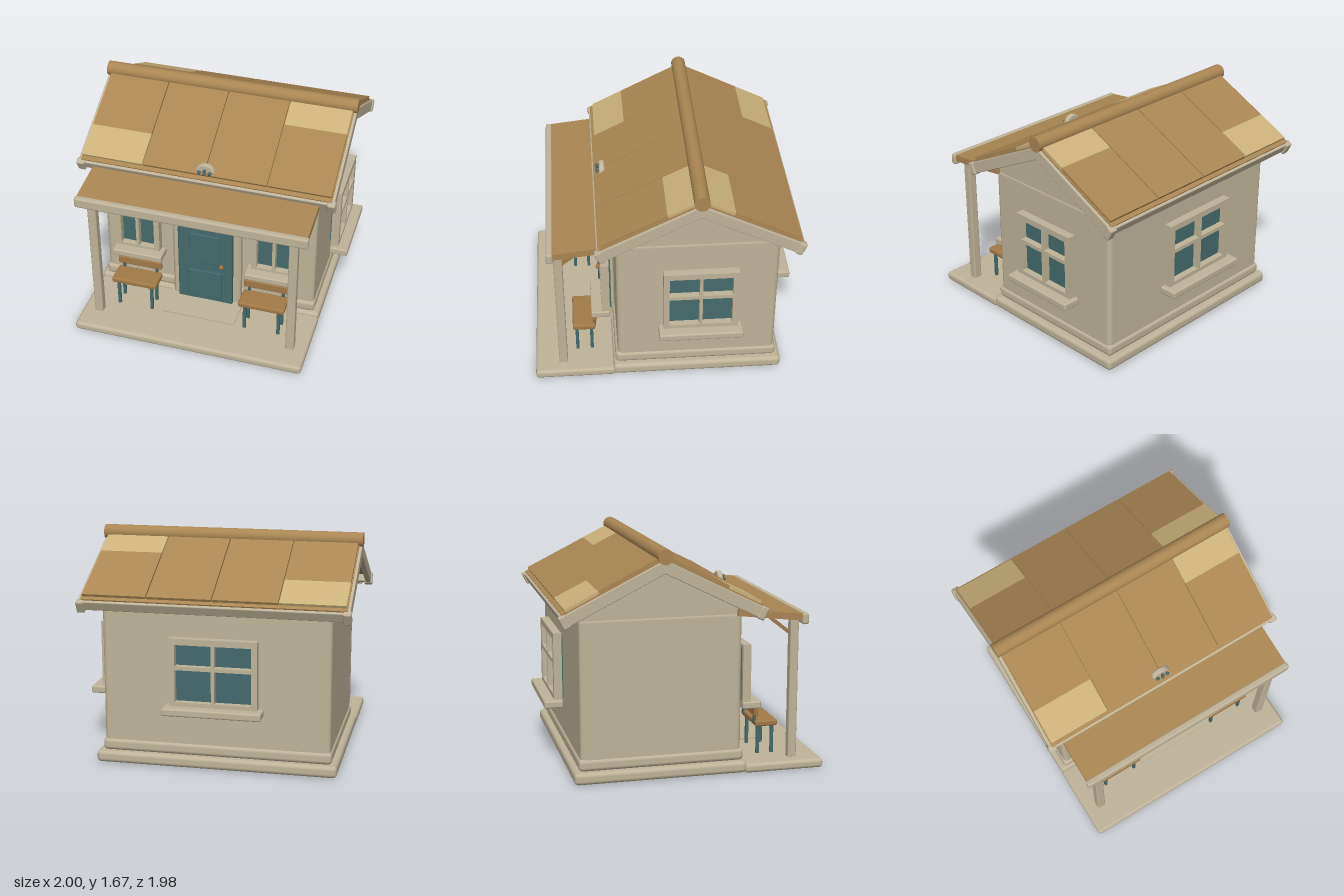
import * as THREE from 'three';
import { RoundedBoxGeometry } from 'three/addons/geometries/RoundedBoxGeometry.js';

const paint = (name, color) => Object.assign(new THREE.MeshStandardMaterial({ color }), { name });
const cream = paint('cream plaster', 0xbfb499);
const roofBrown = paint('roof brown', 0xaa8653);
const roofLight = paint('light roof patch', 0xcbb17b);
const wood = paint('bench wood', 0xa27a46);
const teal = paint('teal', 0x446a6d);
const copper = paint('copper knob', 0xa8743c);

const CX = -0.022; // middle of the house in x
const RIDGE_Z = -0.225;

function add(parent, name, geometry, material, x = 0, y = 0, z = 0) {
  const mesh = new THREE.Mesh(geometry, material);
  mesh.name = name;
  mesh.position.set(x, y, z);
  parent.add(mesh);
  return mesh;
}

function group(parent, name, x = 0, y = 0, z = 0) {
  const g = new THREE.Group();
  g.name = name;
  g.position.set(x, y, z);
  parent.add(g);
  return g;
}

// Box given by its limits, with softened edges when r > 0
function box(parent, name, material, [x0, x1], [y0, y1], [z0, z1], r = 0) {
  const w = x1 - x0, h = y1 - y0, d = z1 - z0;
  const geo = r ? new RoundedBoxGeometry(w, h, d, 2, r) : new THREE.BoxGeometry(w, h, d);
  return add(parent, name, geo, material, (x0 + x1) / 2, (y0 + y1) / 2, (z0 + z1) / 2);
}

function rect(Type, x0, x1, y0, y1) {
  const s = new Type();
  s.moveTo(x0, y0);
  s.lineTo(x1, y0);
  s.lineTo(x1, y1);
  s.lineTo(x0, y1);
  s.closePath();
  return s;
}

// Upright slab with a round top
function arch(radius, bottom, spring, depth, bevel) {
  const r = radius - bevel;
  const s = new THREE.Shape();
  s.moveTo(-r, bottom + bevel);
  s.lineTo(r, bottom + bevel);
  s.lineTo(r, spring);
  s.absarc(0, spring, r, 0, Math.PI, false);
  s.closePath();
  return new THREE.ExtrudeGeometry(s, {
    depth: depth - bevel, bevelEnabled: true, bevelSize: bevel, bevelThickness: bevel,
    bevelSegments: 1, curveSegments: 16,
  });
}

// Window facing local +z, its frame standing on a sill
function addWindow(parent, name, width, top, rows, sillWidth, sillShift = 0) {
  const g = group(parent, name);
  const half = width / 2;
  const frame = rect(THREE.Shape, -half, half, 0.485, top);
  for (const [y0, y1] of rows) {
    frame.holes.push(rect(THREE.Path, -half + 0.043, -0.012, y0, y1));
    frame.holes.push(rect(THREE.Path, 0.012, half - 0.043, y0, y1));
  }
  add(g, 'windowFrame', new THREE.ExtrudeGeometry(frame, { depth: 0.062, bevelEnabled: false }), cream);
  box(g, 'glass', teal, [-half + 0.03, half - 0.03], [0.5, top - 0.03], [-0.012, 0.012]);
  box(g, 'windowSill', cream, [sillShift - sillWidth / 2, sillShift + sillWidth / 2], [0.435, 0.49], [0, 0.14], 0.012);
  return g;
}

function addBench(parent, x) {
  const g = group(parent, 'bench', x);
  box(g, 'benchSeat', wood, [-0.178, 0.178], [0.283, 0.328], [0.53, 0.7], 0.014);
  box(g, 'benchBack', wood, [-0.175, 0.175], [0.362, 0.43], [0.52, 0.55], 0.01);
  for (const side of [-0.132, 0.132]) {
    box(g, 'frontLeg', teal, [side - 0.012, side + 0.012], [0.065, 0.29], [0.658, 0.682], 0.005);
    box(g, 'backLeg', teal, [side - 0.012, side + 0.012], [0.065, 0.29], [0.548, 0.572], 0.005);
    box(g, 'backSupport', teal, [side - 0.01, side + 0.01], [0.3, 0.4], [0.525, 0.545]);
  }
}

// One half of the roof: s = 1 slopes to the front, s = -1 to the back
function addSlope(parent, s) {
  const g = group(parent, s > 0 ? 'frontRoof' : 'backRoof', CX, 1.632, RIDGE_Z);
  g.rotation.x = s * Math.atan(0.5);
  const run = (a, b) => (s > 0 ? [a, b] : [-b, -a]);
  box(g, 'roofDeck', roofBrown, [-0.95, 0.95], [-0.05, -0.02], run(0, 0.815));
  for (let i = 0; i < 4; i++) {
    const xs = [-0.942 + i * 0.473, -0.942 + i * 0.473 + 0.465];
    const cuts = i === 0 ? [0, 0.52, 0.782] : i === 3 ? [0, 0.263, 0.782] : [0, 0.782];
    for (let j = 0; j + 1 < cuts.length; j++) {
      const light = (i === 0 && j === 1) || (i === 3 && j === 0);
      box(g, light ? 'lightRoofPatch' : 'roofPanel', light ? roofLight : roofBrown, xs, [-0.025, 0], run(cuts[j], cuts[j + 1]));
    }
  }
  box(g, 'eaveBoard', cream, [-0.95, 0.95], [-0.105, -0.03], run(0.8, 0.835), 0.008);
  for (const side of [-1, 1]) {
    const x = side * 0.95;
    box(g, 'gableBoard', cream, [x - 0.02, x + 0.02], [-0.115, -0.03], run(0, 0.842), 0.006);
    box(g, 'boardEnd', cream, [x - 0.03, x + 0.03], [-0.122, -0.025], run(0.795, 0.85), 0.012);
  }
}

export function createModel() {
  const house = new THREE.Group();
  house.name = 'house';

  // Foundation, porch floor and walls
  box(house, 'foundation', cream, [CX - 0.888, CX + 0.888], [0.005, 0.092], [-0.86, 0.405], 0.03);
  box(house, 'porchFloor', cream, [CX - 0.888, CX + 0.888], [0, 0.068], [0.39, 0.99], 0.025);
  box(house, 'plinth', cream, [CX - 0.847, CX + 0.847], [0.09, 0.18], [-0.822, 0.388], 0.03);
  box(house, 'walls', cream, [CX - 0.835, CX + 0.835], [0.1, 1.19], [-0.808, 0.37], 0.035);
  const gable = new THREE.Shape();
  gable.moveTo(-0.585, 1.17);
  gable.lineTo(0.585, 1.17);
  gable.lineTo(0.585, 1.27);
  gable.lineTo(0, 1.56);
  gable.lineTo(-0.585, 1.27);
  gable.closePath();
  const gableMesh = add(house, 'gable', new THREE.ExtrudeGeometry(gable, { depth: 1.66, bevelEnabled: false }), cream, CX - 0.83, 0, RIDGE_Z);
  gableMesh.rotation.y = Math.PI / 2;

  // Main roof
  addSlope(house, 1);
  addSlope(house, -1);
  const ridge = add(house, 'ridgePole', new THREE.CylinderGeometry(0.055, 0.055, 1.95, 24), roofBrown, CX, 1.62, RIDGE_Z);
  ridge.rotation.z = Math.PI / 2;

  // Half-round ornament with beads above the eave
  const ornament = group(house, 'roofOrnament', CX, 1.275, 0.42);
  add(ornament, 'ornamentPlate', arch(0.076, -0.008, 0, 0.032, 0.008), cream);
  for (const [x, y] of [[-0.04, 0.018], [0, 0.008], [0.04, 0.018], [0, 0.035]]) {
    add(ornament, 'bead', new THREE.SphereGeometry(0.014, 12, 8), teal, x, y, 0.046);
  }

  // Porch roof, beam, posts and braces
  const porchRoof = box(house, 'porchRoof', roofBrown, [CX - 0.86, CX + 0.86], [1.135, 1.185], [0.33, 0.84]);
  porchRoof.rotation.x = 0.115;
  box(house, 'porchBeam', cream, [CX - 0.87, CX + 0.87], [1.08, 1.162], [0.81, 0.86], 0.015);
  for (const side of [-1, 1]) {
    const x = CX + side * 0.758;
    box(house, 'porchPost', cream, [x - 0.033, x + 0.033], [0.06, 1.12], [0.748, 0.812], 0.01);
    const brace = add(house, 'porchBrace', new THREE.BoxGeometry(0.03, 0.025, 0.2), wood, x, 1.06, 0.68);
    brace.rotation.x = Math.atan2(0.11, 0.14);
  }

  // Door with arched surround
  const door = group(house, 'door', CX);
  add(door, 'doorSurround', arch(0.27, 0.07, 0.765, 0.06, 0.018), cream, 0, 0, 0.38);
  add(door, 'doorLeaf', arch(0.215, 0.085, 0.73, 0.04, 0.008), teal, 0, 0, 0.436);
  box(door, 'upperPanel', teal, [-0.118, 0.118], [0.46, 0.73], [0.46, 0.488], 0.008);
  box(door, 'lowerPanel', teal, [-0.135, 0.135], [0.125, 0.38], [0.46, 0.488], 0.008);
  add(door, 'doorKnob', new THREE.SphereGeometry(0.018, 16, 12), copper, 0.135, 0.455, 0.492);
  box(door, 'doorStep', cream, [-0.29, 0.29], [0.06, 0.078], [0.4, 0.68]);

  // Windows: two beside the door, one on the left wall, one at the back
  for (const side of [-1, 1]) {
    const w = addWindow(house, 'frontWindow', 0.35, 0.918, [[0.51, 0.875]], 0.395, -side * 0.013);
    w.position.set(CX + side * 0.538, 0, 0.417);
    addBench(house, CX + side * 0.503);
  }
  const rows = [[0.52, 0.757], [0.785, 0.942]];
  const sideWindow = addWindow(house, 'sideWindow', 0.545, 0.987, rows, 0.615);
  sideWindow.position.set(0.857, 0, -0.238);
  sideWindow.rotation.y = Math.PI / 2;
  const backWindow = addWindow(house, 'backWindow', 0.64, 0.987, rows, 0.72);
  backWindow.position.set(-0.025, 0, -0.85);
  backWindow.rotation.y = Math.PI;

  return house;
}
